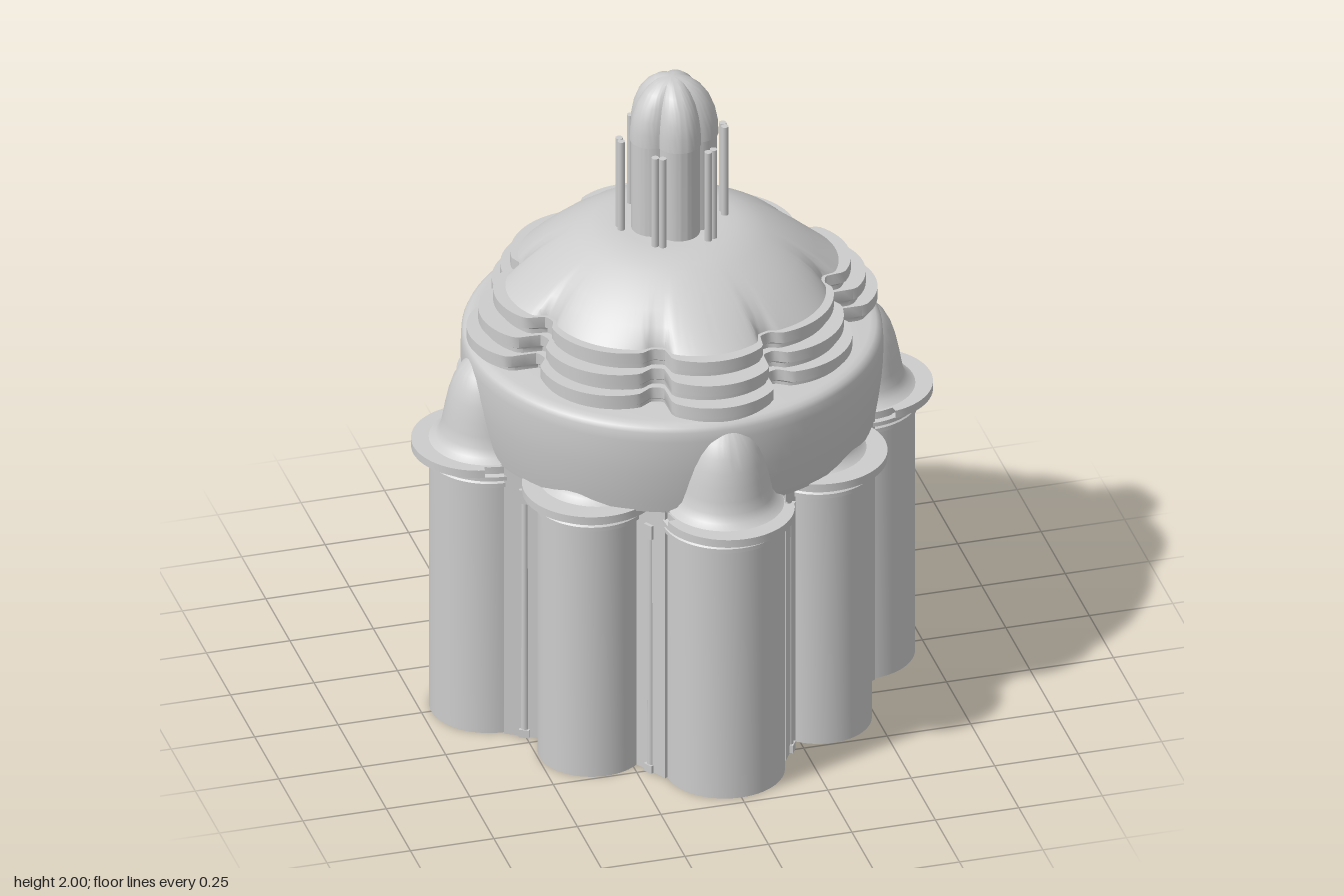
import * as THREE from 'three';
import { toCreasedNormals } from 'three/addons/utils/BufferGeometryUtils.js';

const stone = new THREE.MeshStandardMaterial({ color: 0xcccccc, side: THREE.DoubleSide });
stone.name = 'pale stone';

function add(parent, name, geometry, x = 0, y = 0, z = 0, ry = 0) {
  const mesh = new THREE.Mesh(geometry, stone);
  mesh.name = name;
  mesh.position.set(x, y, z);
  mesh.rotation.y = ry;
  parent.add(mesh);
  return mesh;
}

// Turned profile, optionally covering only an arc centred on +z
function turned(points, halfArc = Math.PI, segments = 64) {
  const profile = points.map(([r, y]) => new THREE.Vector2(r, y));
  return toCreasedNormals(new THREE.LatheGeometry(profile, segments, -halfArc, 2 * halfArc), 0.6);
}

// Distance to the far side of a circle lying off centre, t away from its axis
function reach(t, centre, radius) {
  const s = centre * Math.sin(t);
  return centre * Math.cos(t) + Math.sqrt(Math.max(0, radius * radius - s * s));
}

// Angle measured from the nearest of n axes
function fromAxis(angle, n) {
  const step = (2 * Math.PI) / n;
  return angle - Math.round(angle / step) * step;
}

// Projection of the eight lobes beyond the notches: narrow on the axes, broad on the diagonals
function eightLobes(angle) {
  const t = Math.abs(fromAxis(angle, 4));
  const d = Math.abs(t - Math.PI / 4);
  const axis = (reach(t, 0.43, 0.177) - 0.44) * (1 - THREE.MathUtils.smoothstep(t, 0.27, 0.34));
  const diagonal = (reach(d, 0.36, 0.19) - 0.44) * (1 - THREE.MathUtils.smoothstep(d, 0.32, 0.39));
  return Math.max(0, axis, diagonal);
}

// Five petals, as a fraction of the greatest radius
const fivePetals = (angle) => reach(fromAxis(angle, 5), 0.068, 0.063) / 0.131;

// Rings of [height, radius by angle] joined into a surface
function rings(rows, segments) {
  const positions = [], index = [];
  for (const [y, radius] of rows) {
    for (let j = 0; j <= segments; j++) {
      const a = (j / segments) * 2 * Math.PI;
      positions.push(radius(a) * Math.sin(a), y, radius(a) * Math.cos(a));
    }
  }
  for (let i = 0; i < rows.length - 1; i++) {
    for (let j = 0; j < segments; j++) {
      const a = i * (segments + 1) + j, c = a + segments + 1;
      index.push(a, a + 1, c, a + 1, c + 1, c);
    }
  }
  const g = new THREE.BufferGeometry();
  g.setAttribute('position', new THREE.Float32BufferAttribute(positions, 3));
  g.setIndex(index);
  return toCreasedNormals(g, 0.6);
}

// Rows of [notch radius, y, lobe strength]
const scalloped = (rows) => rings(rows.map(([r, y, k]) => [y, (a) => r + k * eightLobes(a)]), 288);
// Rows of [radius, y]
const petalled = (rows) => rings(rows.map(([r, y]) => [y, (a) => r * fivePetals(a)]), 120);

// Half-round niche with its cornice and bell-shaped half dome
function niche(distance, r, lipDistance, lip, domeDistance) {
  const group = new THREE.Group();
  group.name = 'niche';
  const t = 0.045;
  add(group, 'nicheWall', turned([
    [r - t, 0], [r, 0], [r, 0.82], [r + 0.01, 0.822], [r + 0.01, 0.835], [r + 0.004, 0.84],
    [r + 0.013, 0.845], [r + 0.013, 0.858], [r, 0.862], [r, 0.885], [r - t, 0.885], [r - t, 0],
  ], Math.PI / 2, 32), 0, 0, distance);
  add(group, 'nicheCornice', turned([
    [0.11, 0.865], [lip, 0.865], [lip, 0.89], [0.11, 0.89],
  ], 1.4, 32), 0, 0, lipDistance);
  add(group, 'halfDome', turned([
    [0.17, 0.89], [0.15, 0.902], [0.137, 0.925], [0.13, 0.96], [0.123, 1.0], [0.113, 1.045],
    [0.1, 1.085], [0.08, 1.122], [0.054, 1.149], [0.027, 1.163], [0, 1.167],
  ], Math.PI / 2, 32), 0, 0, domeDistance);
  return group;
}

export function createModel() {
  const model = new THREE.Group();
  model.name = 'rotunda';

  // Eight niches, deeper on the main axes
  for (let i = 0; i < 8; i++) {
    const n = i % 2 ? niche(0.48, 0.155, 0.48, 0.2, 0.445) : niche(0.548, 0.173, 0.582, 0.192, 0.552);
    n.rotation.y = (i * Math.PI) / 4;
    model.add(n);
  }

  // Piers with slender columns between the niches
  for (let i = 0; i < 4; i++) {
    const bay = new THREE.Group();
    bay.name = 'piers';
    bay.rotation.y = (i * Math.PI) / 2;
    for (const s of [-1, 1]) {
      add(bay, 'pier', new THREE.BoxGeometry(0.12, 0.89, 0.025), s * 0.2, 0.445, 0.497, s * 1.046);
      for (const [x, z] of [[0.15, 0.49], [0.235, 0.41], [0.207, 0.5]]) {
        add(bay, 'column', new THREE.CylinderGeometry(0.01, 0.012, 0.82, 12), s * x, 0.41, z);
        add(bay, 'columnBase', new THREE.BoxGeometry(0.03, 0.025, 0.03), s * x, 0.0125, z, s * 1.046);
        add(bay, 'columnCapital', new THREE.BoxGeometry(0.03, 0.045, 0.03), s * x, 0.8, z, s * 1.046);
      }
    }
    model.add(bay);
  }

  // Bulging drum, hollow beneath with an inner vault
  add(model, 'drum', turned([
    [0.46, 0.885], [0.583, 0.885], [0.59, 0.92], [0.598, 0.97], [0.604, 1.02], [0.608, 1.07],
    [0.608, 1.13], [0.606, 1.16], [0.6, 1.173], [0.588, 1.181], [0.57, 1.184], [0.4, 1.184],
  ], Math.PI, 96));
  add(model, 'innerVault', turned([
    [0.46, 0.885], [0.46, 1.05], [0.41, 1.17], [0.35, 1.29], [0.25, 1.4], [0.12, 1.46], [0, 1.47],
  ]));

  // Three scalloped tiers, stepping back at the notches too
  for (const [r, k, y, top] of [[0.472, 0.81, 1.18, 1.235], [0.457, 0.69, 1.235, 1.29], [0.442, 0.51, 1.29, 1.345]]) {
    add(model, 'scallopedTier', scalloped([
      [r - 0.008, y, k - 0.05], [r - 0.008, y + 0.014, k - 0.05], [r, y + 0.02, k],
      [r, top, k], [0.4, top, k - 0.25],
    ]));
  }

  // Umbrella dome, its lobes fading towards the top
  add(model, 'umbrellaDome', scalloped([
    [0.432, 1.343, 0.36], [0.426, 1.362, 0.24], [0.403, 1.396, 0.11], [0.367, 1.432, 0.04],
    [0.32, 1.465, 0.01], [0.275, 1.491, 0], [0.235, 1.508, 0], [0.19, 1.519, 0],
    [0.15, 1.521, 0], [0, 1.521, 0],
  ]));

  // Five-lobed lantern and its cap
  add(model, 'lantern', petalled([[0.129, 1.52], [0.129, 1.815]]));
  add(model, 'lanternCap', petalled([
    [0.12, 1.815], [0.134, 1.815], [0.132, 1.855], [0.124, 1.895], [0.108, 1.935],
    [0.084, 1.967], [0.054, 1.99], [0.026, 1.998], [0, 2],
  ]));

  // Six pairs of rods around the lantern
  for (let i = 0; i < 6; i++) {
    const pair = new THREE.Group();
    pair.name = 'rodPair';
    pair.rotation.y = (i * Math.PI) / 3;
    for (const s of [-1, 1]) {
      add(pair, 'rod', new THREE.CylinderGeometry(0.011, 0.011, 0.3, 12), 0.155, 1.663, s * 0.011);
    }
    model.add(pair);
  }
  return model;
}
